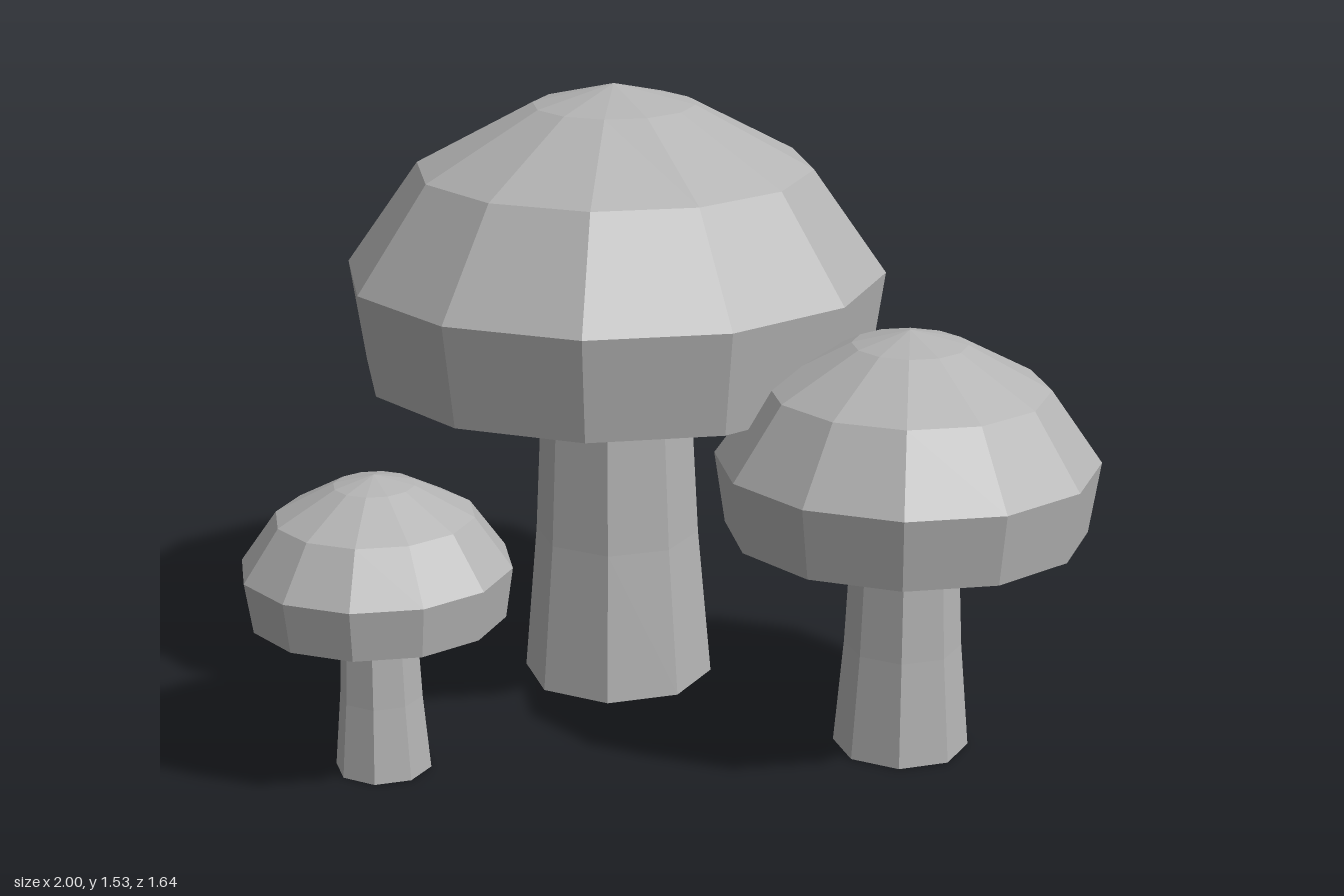
import * as THREE from 'three';

const grey = new THREE.MeshStandardMaterial({ color: 0xb4b4b4 });
grey.name = 'plain grey';

// Profiles as [radius, height], bottom to top, for the full-size mushroom
const STEM = [[0, 0], [0.24, 0], [0.207, 0.38], [0.188, 0.77]];
const CAP = [[0, 0.755], [0.2, 0.755], [0.632, 0.815], [0.67, 1.07], [0.49, 1.325], [0.2, 1.48], [0, 1.53]];

// Faceted solid of revolution
function turned(name, profile, sides) {
  const points = profile.map(([r, y]) => new THREE.Vector2(r, y));
  const geometry = new THREE.LatheGeometry(points, sides).toNonIndexed();
  geometry.computeVertexNormals();
  const mesh = new THREE.Mesh(geometry, grey);
  mesh.name = name;
  return mesh;
}

function mushroom(name, x, z, size) {
  const group = new THREE.Group();
  group.name = name;
  group.add(turned('stem', STEM, 8), turned('cap', CAP, 12));
  group.position.set(x, 0, z);
  group.scale.setScalar(size);
  return group;
}

export function createModel() {
  const model = new THREE.Group();
  model.name = 'mushroomCluster';
  model.add(
    mushroom('largeMushroom', -0.19, -0.15, 1),
    mushroom('mediumMushroom', 0.545, 0.255, 0.68),
    mushroom('smallMushroom', -0.68, 0.5, 0.478),
  );
  return model;
}
